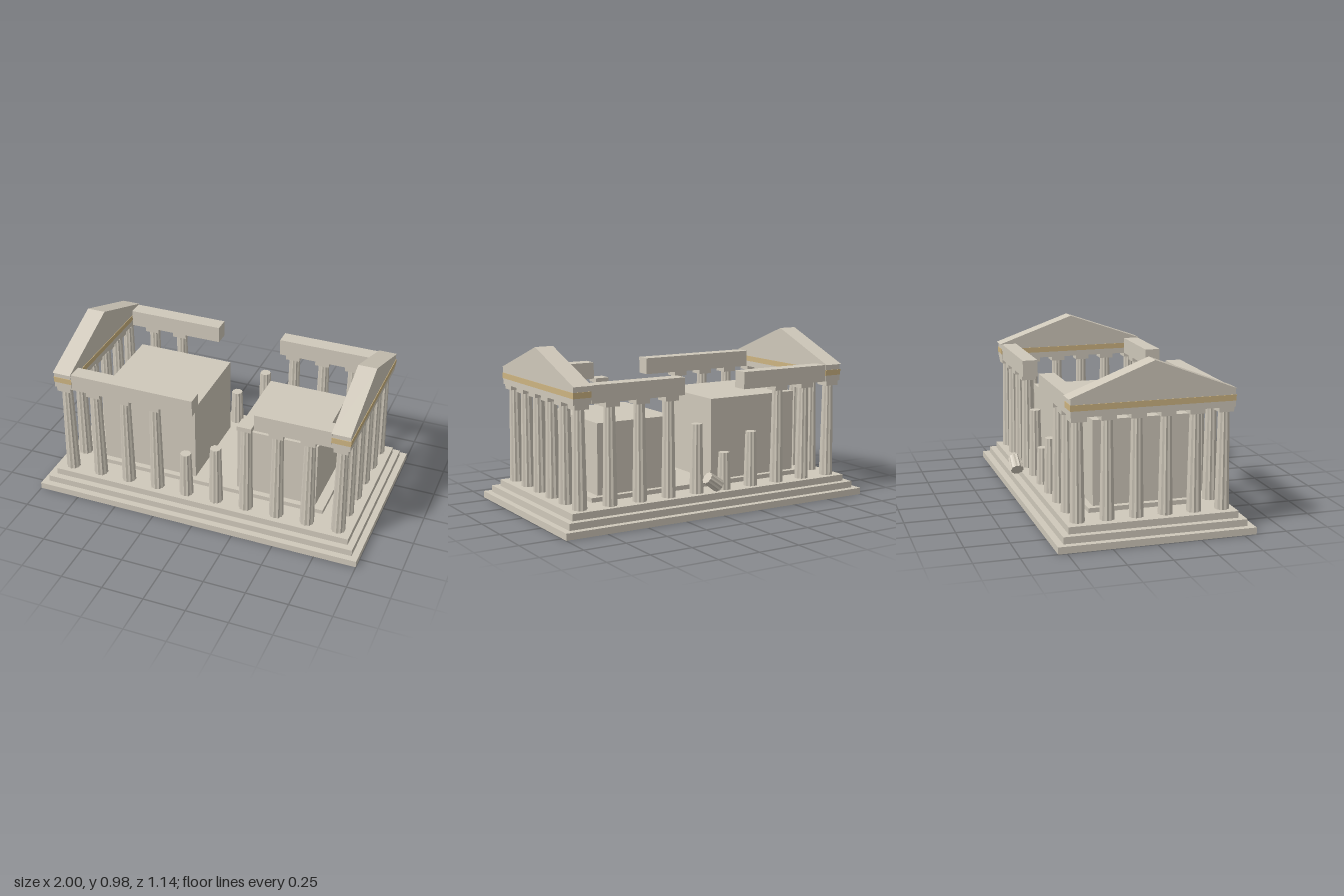
import * as THREE from 'three';

const CZ = 0.012;        // centre line of the building
const FLOOR = 0.117;     // top of the stepped base
const SHAFT_TOP = 0.672;
const BEAM_Y = 0.7, BEAM_TOP = 0.8;
const END_X = 0.845;

// Tapered shaft whose alternate edges are drawn inwards as flutes
function flutedShaft(topRadius, bottomRadius, height) {
  const sides = 20;
  const geo = new THREE.CylinderGeometry(topRadius, bottomRadius, height, sides);
  const p = geo.attributes.position;
  for (let i = 0; i < p.count; i++) {
    const x = p.getX(i), z = p.getZ(i);
    if (Math.hypot(x, z) < 1e-5) continue;
    const step = Math.round(Math.atan2(x, z) / (2 * Math.PI / sides));
    if (Math.abs(step) % 2 === 1) {
      p.setX(i, x * 0.88);
      p.setZ(i, z * 0.88);
    }
  }
  const flat = geo.toNonIndexed();
  flat.computeVertexNormals();
  return flat;
}

export function createModel() {
  const model = new THREE.Group();
  model.name = 'ruinedTemple';

  const stone = new THREE.MeshStandardMaterial({ color: 0xcfc8ba });
  stone.name = 'weathered stone';
  const ochre = new THREE.MeshStandardMaterial({ color: 0xcdb481 });
  ochre.name = 'ochre band';

  function add(name, geo, x, y, z, material = stone, parent = model) {
    const mesh = new THREE.Mesh(geo, material);
    mesh.name = name;
    mesh.position.set(x, y, z);
    parent.add(mesh);
    return mesh;
  }

  // Box given by its limits on each axis
  function block(name, [x0, x1], [y0, y1], [z0, z1], material = stone, parent = model) {
    return add(name, new THREE.BoxGeometry(x1 - x0, y1 - y0, z1 - z0),
      (x0 + x1) / 2, (y0 + y1) / 2, (z0 + z1) / 2, material, parent);
  }
  const around = (c, half) => [c - half, c + half];

  // Three-stepped base and inner floor
  for (let i = 0; i < 3; i++) {
    block('baseStep', around(0, 1 - i * 0.038), [i * 0.039, (i + 1) * 0.039], around(CZ, 0.561 - i * 0.039));
  }
  block('innerFloor', around(0, 0.72), [FLOOR, 0.143], around(CZ, 0.316));

  // Two remaining chambers
  block('tallChamber', [-0.685, -0.09], [0.143, 0.628], around(CZ, 0.281));
  block('lowChamber', [0.176, 0.664], [0.143, 0.555], around(CZ, 0.281));

  // Columns: whole ones carry a square capital, broken ones stop at a given height
  const shaft = flutedShaft(0.032, 0.042, SHAFT_TOP - FLOOR);
  const capital = new THREE.BoxGeometry(0.086, BEAM_Y - SHAFT_TOP, 0.086);
  function column(x, z, brokenTop) {
    const group = new THREE.Group();
    group.name = brokenTop ? 'brokenColumn' : 'column';
    group.position.set(x, FLOOR, z);
    model.add(group);
    const height = (brokenTop || SHAFT_TOP) - FLOOR;
    add('shaft', brokenTop ? flutedShaft(0.033, 0.042, height) : shaft, 0, height / 2, 0, stone, group);
    if (!brokenTop) add('capital', capital, 0, height + (BEAM_Y - SHAFT_TOP) / 2, 0, stone, group);
  }

  // Long rows, ten columns each
  const rowOffset = 0.414;
  const brokenFront = { 4: 0.4, 5: 0.485 };
  const brokenBack = { 3: 0.44, 4: 0.335, 5: 0.52 };
  for (let i = 0; i < 10; i++) {
    const x = -END_X + i * END_X * 2 / 9;
    column(x, CZ + rowOffset, brokenFront[i]);
    column(x, CZ - rowOffset, brokenBack[i]);
  }
  // End rows between the corners
  for (const side of [-1, 1]) {
    for (let i = 1; i < 5; i++) column(side * END_X, CZ - rowOffset + i * rowOffset * 2 / 5);
  }

  // Surviving lengths of the side beams
  const frontZ = around(CZ + rowOffset, 0.046), backZ = around(CZ - rowOffset, 0.046);
  const beamY = [BEAM_Y, BEAM_TOP];
  block('frontBeamRight', [-0.79, -0.03], beamY, frontZ);
  block('frontBeamLeft', [0.342, 0.79], beamY, frontZ);
  block('backBeamRight', [-0.79, -0.2], beamY, backZ);
  block('backBeamLeft', [0.2, 0.79], beamY, backZ);

  // End beams with painted band and triangular pediment
  for (const side of [-1, 1]) {
    const end = new THREE.Group();
    end.name = side < 0 ? 'rightEnd' : 'leftEnd';
    model.add(end);
    block('endBeam', around(side * END_X, 0.053), beamY, around(CZ, 0.461), stone, end);
    block('paintedBand', around(side * END_X, 0.056), [0.735, 0.768], around(CZ, 0.464), ochre, end);

    const rise = side < 0 ? 0.182 : 0.166;
    const gable = new THREE.Shape([
      new THREE.Vector2(-0.472, 0), new THREE.Vector2(0.472, 0), new THREE.Vector2(0, rise),
    ]);
    const geo = new THREE.ExtrudeGeometry(gable, { depth: 0.11, bevelEnabled: false });
    geo.translate(0, 0, -0.055);
    geo.rotateY(Math.PI / 2);
    add('pediment', geo, side * END_X, BEAM_TOP, CZ, stone, end);
  }

  // Fallen drum behind the broken back row
  const drum = add('fallenDrum', flutedShaft(0.037, 0.04, 0.095), 0.065, 0.203, -0.531);
  drum.rotation.z = -0.95;

  return model;
}
